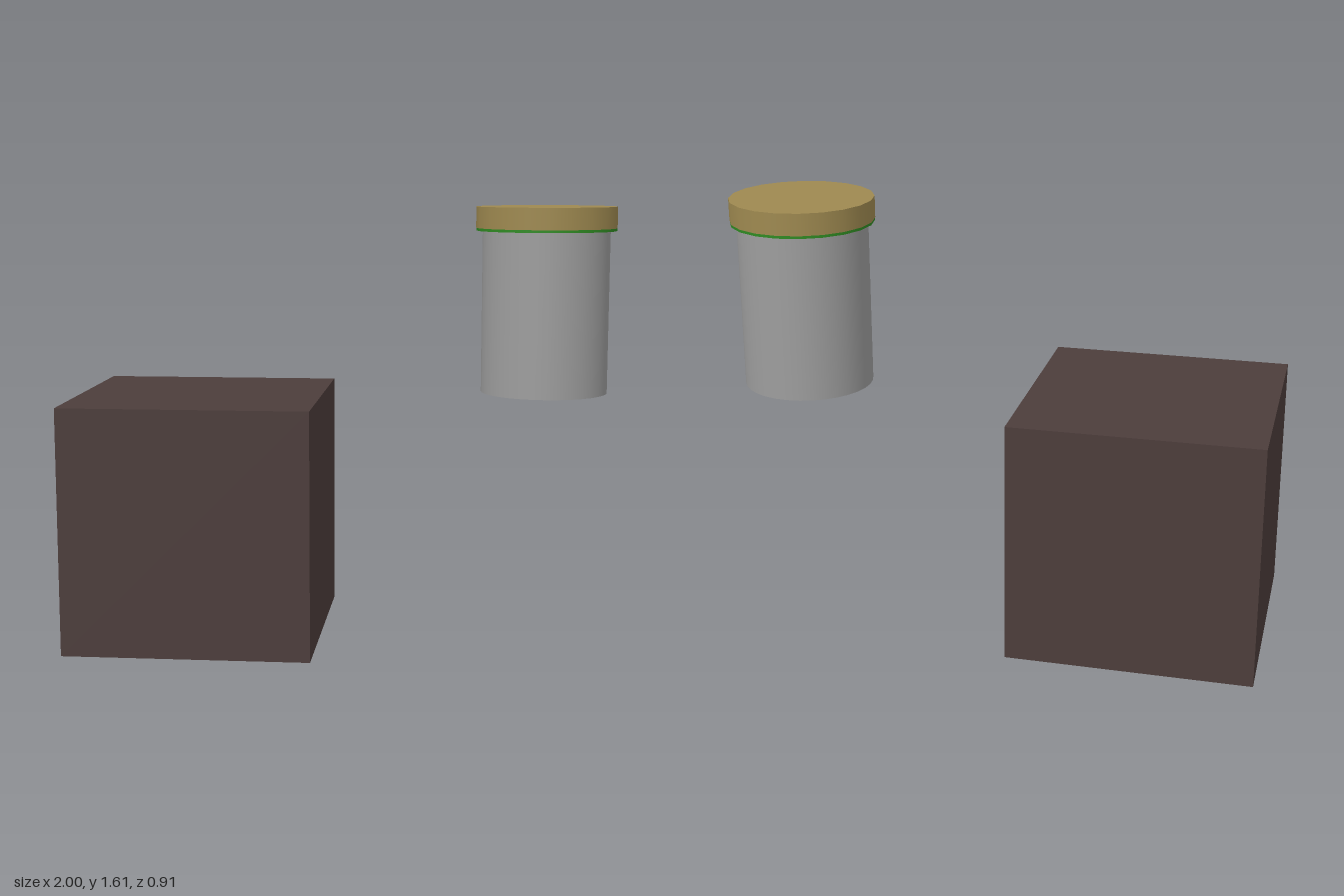
import * as THREE from 'three';

const material = (name, color) => {
  const m = new THREE.MeshStandardMaterial({ color });
  m.name = name;
  return m;
};

export function createModel() {
  const model = new THREE.Group();
  const brown = material('dark brown', 0x4c3d3b);
  const grey = material('grey', 0x9d9d9d);
  const tan = material('tan', 0x9e8950);
  const green = material('green', 0x2f8a22);

  const add = (parent, name, geometry, mat, x, y, z) => {
    const mesh = new THREE.Mesh(geometry, mat);
    mesh.name = name;
    mesh.position.set(x, y, z);
    parent.add(mesh);
  };

  // Large cube standing on the ground
  const size = 0.907;
  add(model, 'cube', new THREE.BoxGeometry(size, size, size), brown, -1 + size / 2, size / 2, 0);

  // Raised jar, stacked from cylinders: body, thin seal, lid
  const jar = new THREE.Group();
  jar.name = 'jar';
  jar.position.set(0.737, size, -0.14);
  model.add(jar);
  const disc = (name, radius, bottom, top, sides, mat) =>
    add(jar, name, new THREE.CylinderGeometry(radius, radius, top - bottom, sides), mat, 0, (top + bottom) / 2, 0);
  disc('jarBody', 0.238, 0, 0.612, 32, grey);
  disc('lidSeal', 0.262, 0.608, 0.618, 20, green);
  disc('lid', 0.263, 0.618, 0.698, 20, tan);

  return model;
}
